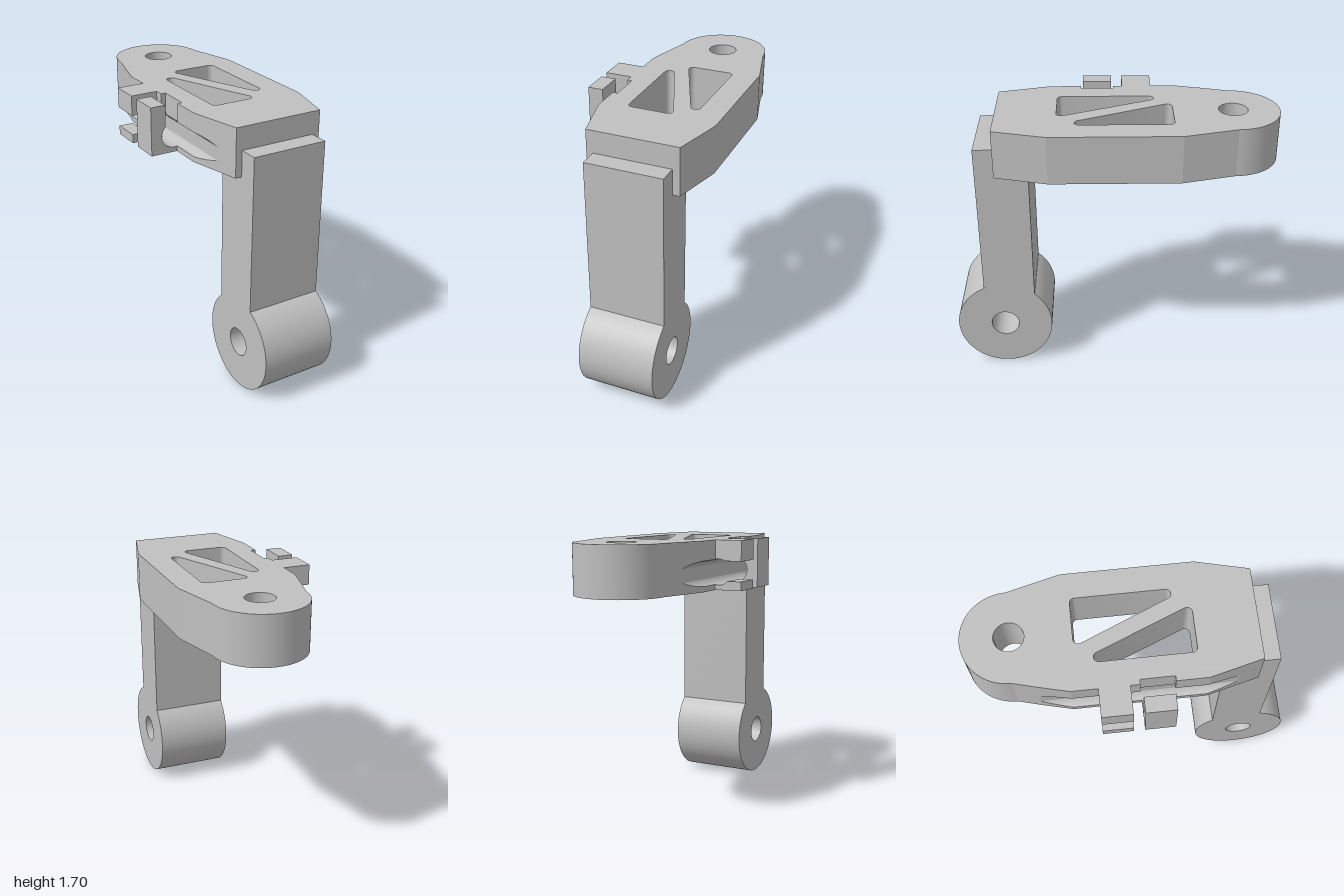
import * as THREE from 'three';
import { toCreasedNormals } from 'three/addons/utils/BufferGeometryUtils.js';

const V = (x, y) => new THREE.Vector2(x, y);
const Y0 = 1.4, Y1 = 1.7;                       // plate underside and top
const BORE = { x: -0.302, y: 1.508, r: 0.078 }; // cable bore running along z
const SIDE = -0.28, FLOOR = -0.235;             // plate side and channel floor

// Points on a circle between two angles
function arc(cx, cy, r, a0, a1, n) {
  return Array.from({ length: n + 1 }, (_, i) => {
    const a = a0 + (a1 - a0) * i / n;
    return V(cx + r * Math.cos(a), cy + r * Math.sin(a));
  });
}
const boreArc = (a0, a1, n = 16) => arc(BORE.x, BORE.y, BORE.r, a0, a1, n);
const boreAngle = x => Math.acos((x - BORE.x) / BORE.r);

// Closed polygon with every corner rounded
function rounded(corners, r) {
  const out = [];
  corners.forEach((p, i) => {
    const n = corners.length;
    const a = corners[(i + n - 1) % n].clone().sub(p).normalize();
    const b = corners[(i + 1) % n].clone().sub(p).normalize();
    const half = Math.acos(a.dot(b)) / 2;
    const c = p.clone().add(a.clone().add(b).normalize().multiplyScalar(r / Math.sin(half)));
    const t = r / Math.tan(half);
    const s = p.clone().addScaledVector(a, t).sub(c);
    const e = p.clone().addScaledVector(b, t).sub(c);
    const a0 = s.angle();
    let d = e.angle() - a0;
    if (d > Math.PI) d -= 2 * Math.PI;
    if (d < -Math.PI) d += 2 * Math.PI;
    out.push(...arc(c.x, c.y, r, a0, a0 + d, 10));
  });
  return out;
}

function extrude(points, depth, holes = []) {
  const shape = new THREE.Shape(points);
  shape.holes = holes.map(h => new THREE.Path(h));
  return new THREE.ExtrudeGeometry(shape, { depth, bevelEnabled: false });
}

export function createModel() {
  const group = new THREE.Group();
  const grey = new THREE.MeshStandardMaterial({ color: 0xc0c0c0 });
  grey.name = 'grey';

  const add = (name, geometry) => {
    const mesh = new THREE.Mesh(toCreasedNormals(geometry, 0.2), grey);
    mesh.name = name;
    group.add(mesh);
  };

  // Leg with a round eye at the foot, profile in (-z, y), extruded along x
  const ez = -0.698, ey = 0.302, er = 0.302;
  const a0 = Math.PI - Math.acos(0.122 / er), a1 = Math.acos(0.198 / er);
  const leg = extrude([
    ...arc(ez, ey, er, a0, a1 + 2 * Math.PI, 72),
    V(-0.5, Y0), V(-0.695, Y0), V(-0.695, 1.56), V(-0.82, 1.56),
  ], 0.48, [arc(ez, ey, 0.088, 0, 2 * Math.PI, 48).slice(1)]);
  add('leg', leg.rotateY(Math.PI / 2).translate(-0.16, 0, 0));

  // Top plate, outline in (x, -z), with pivot hole and two truss windows
  const plate = extrude([
    V(-0.2, -0.7), V(0.365, -0.7), V(0.445, -0.38), V(0.445, 0.4),
    ...arc(0.083, 0.72, 0.28, 0, Math.PI, 48),
    V(FLOOR, 0.58), V(FLOOR, -0.56),
  ], Y1 - Y0, [
    arc(0.083, 0.72, 0.088, 0, 2 * Math.PI, 48).slice(1),
    rounded([V(-0.12, 0.375), V(-0.12, -0.333), V(0.172, -0.333)], 0.03),
    rounded([V(-0.015, 0.36), V(0.285, 0.36), V(0.285, -0.34)], 0.03),
  ]);
  add('plate', plate.rotateX(-Math.PI / 2).translate(0, Y0, 0));

  // Strips beside the channel; open ends follow the taper of the plate
  const taper = x => 0.38 + (x - SIDE) * 4;
  function strip(name, points, back, front) {
    const g = extrude(points, 1), p = g.attributes.position;
    for (let i = 0; i < p.count; i++) {
      const x = p.getX(i);
      p.setZ(i, p.getZ(i) > 0.5 ? (front ?? taper(x)) : (back ?? -taper(x) - 0.02));
    }
    add(name, g);
  }
  const aSide = boreAngle(SIDE), aFloor = boreAngle(FLOOR), aSlot = boreAngle(-0.25);
  const upper = [V(FLOOR, Y1), V(SIDE, Y1), ...boreArc(aSide, aFloor)];
  strip('channelTopBack', upper, null, -0.01);
  strip('channelTopFront', upper, 0.19, null);
  strip('channelTopNotch',
    [V(FLOOR, Y1), V(-0.25, Y1), ...boreArc(aSlot, aFloor)], -0.01, 0.19);
  strip('channelBottom',
    [V(SIDE, Y0), V(FLOOR, Y0), ...boreArc(-aFloor, -aSide)], null, null);

  // Front cable hook, open upwards
  const OUT = -0.45;
  strip('frontHook', [
    V(OUT, Y0), V(SIDE, Y0),
    ...boreArc(-aSide, boreAngle(-0.355) - 2 * Math.PI, 32),
    V(-0.355, Y1), V(OUT, Y1),
  ], 0, 0.18);

  // Rear cable hook, two jaws open outwards
  const jawTop = Math.PI - Math.asin(0.067 / BORE.r);
  const jawBottom = Math.PI - Math.asin(0.053 / BORE.r);
  strip('rearHookTop', [
    V(SIDE, Y1), V(OUT, Y1), V(OUT, BORE.y + 0.067), ...boreArc(jawTop, aSide),
  ], -0.245, -0.065);
  strip('rearHookBottom', [
    V(OUT, Y0), V(SIDE, Y0), ...boreArc(-aSide, -jawBottom), V(OUT, BORE.y - 0.053),
  ], -0.245, -0.065);

  return group;
}
